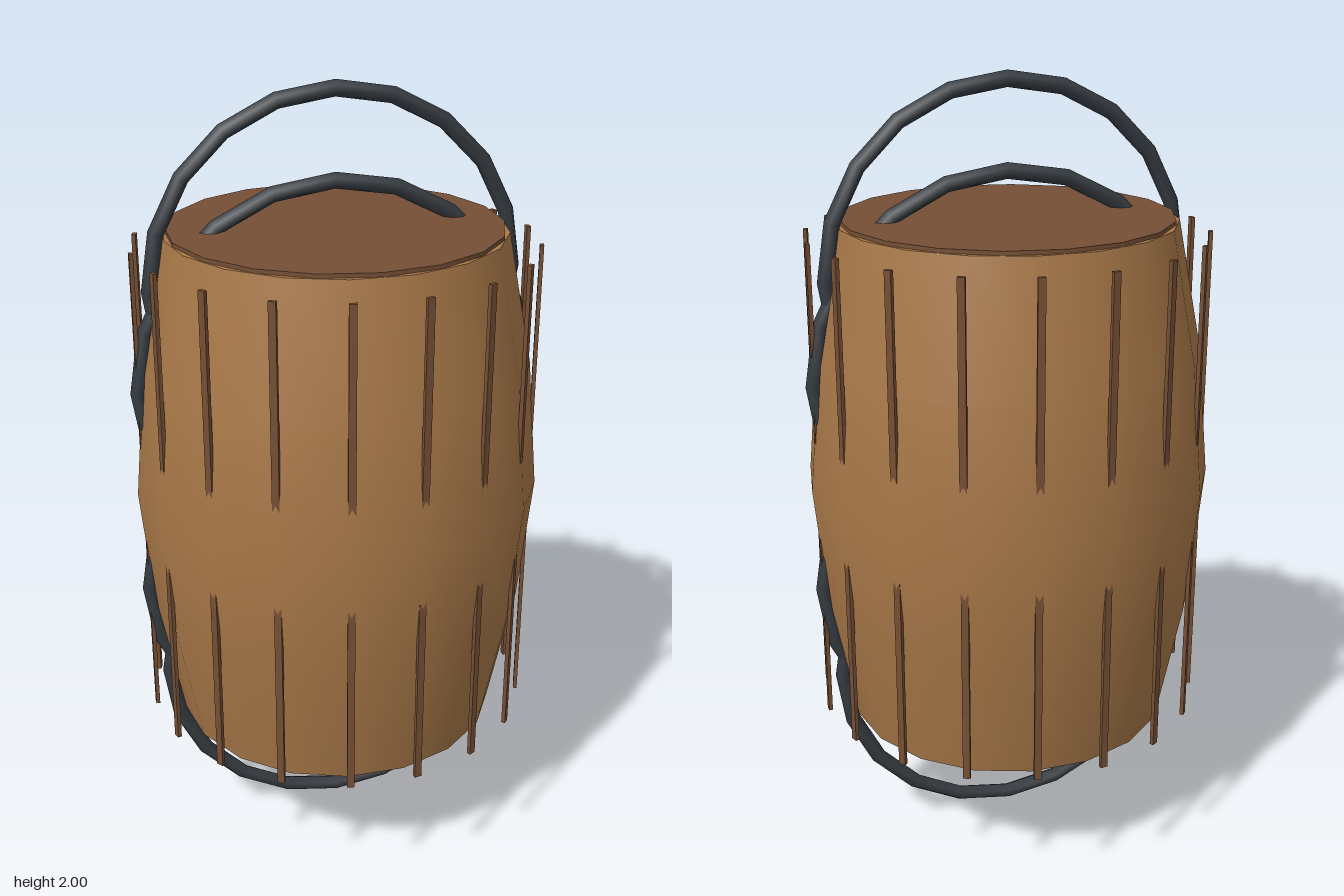
import * as THREE from 'three';

const SIDES = 18;
const STEP = (Math.PI * 2) / SIDES;

export function createModel() {
  const group = new THREE.Group();
  const wood = new THREE.MeshStandardMaterial({ color: 0xa87848 });
  wood.name = 'light wood';
  const darkWood = new THREE.MeshStandardMaterial({ color: 0x754f35 });
  darkWood.name = 'dark wood';
  const iron = new THREE.MeshStandardMaterial({ color: 0x363c42 });
  iron.name = 'dark iron';

  const add = (name, geometry, material, x = 0, y = 0, z = 0) => {
    const mesh = new THREE.Mesh(geometry, material);
    mesh.name = name;
    mesh.position.set(x, y, z);
    group.add(mesh);
    return mesh;
  };

  // Bulging barrel wall, with a corner on the x axis
  const profile = [[0.418, 0.35], [0.482, 0.675], [0.512, 1], [0.482, 1.325], [0.418, 1.65]]
    .map(([r, y]) => new THREE.Vector2(r, y));
  add('barrelWall', new THREE.LatheGeometry(profile, SIDES, STEP / 2), wood);

  // Flat barrel ends
  const end = new THREE.CircleGeometry(0.418, SIDES);
  add('barrelTop', end, wood, 0, 1.65).rotation.x = -Math.PI / 2;
  add('barrelBottom', end, wood, 0, 0.35).rotation.x = Math.PI / 2;

  // Lid set on the top end
  add('lid', new THREE.CylinderGeometry(0.41, 0.41, 0.04, SIDES), darkWood, 0, 1.64);

  // Straight stave strips, sunk into the bulge at mid height
  const strip = new THREE.BoxGeometry(0.018, 1.244, 0.01);
  for (let i = 0; i < SIDES; i++) {
    const a = (i + 0.5) * STEP;
    add('staveStrip', strip, darkWood, Math.sin(a) * 0.494, 1, Math.cos(a) * 0.494).rotation.y = a;
  }

  // Upright iron hoops, mirrored above and below the middle
  for (const side of [1, -1]) {
    add('innerHoop', new THREE.TorusGeometry(0.495, 0.02, 6, 20), iron, 0, 1 + side * 0.27);
    add('outerHoop', new THREE.TorusGeometry(0.455, 0.02, 6, 20), iron, 0, 1 + side * 0.525);
  }
  return group;
}
